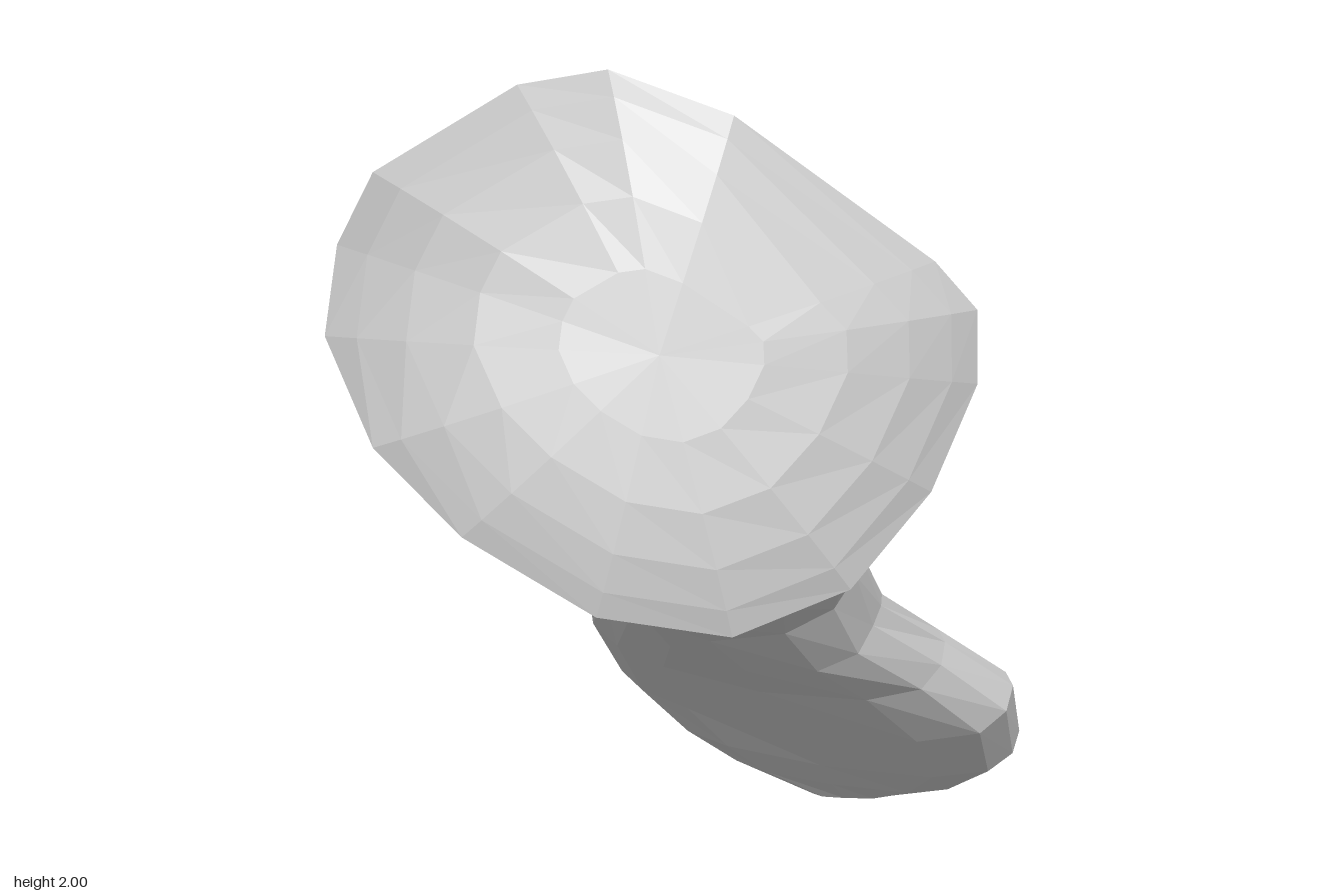
import * as THREE from 'three';

const v = (a) => new THREE.Vector3(...a);

// Rim of the domed end: angle around the body (0 back/top, 90 left, 180 underside), then x, y, z
const RIM = [
  [0, 0.05, 2.0, 0.46], [30, 0.24, 1.94, 0.4], [65, 0.48, 1.67, 0.17], [80, 0.535, 1.58, 0.12],
  [95, 0.55, 1.46, 0.14], [120, 0.54, 1.32, 0.28], [150, 0.49, 1.21, 0.46], [180, 0.37, 1.17, 0.63],
  [205, 0.2, 1.22, 0.76], [228, 0.0, 1.34, 0.83], [250, -0.17, 1.45, 0.82], [270, -0.33, 1.57, 0.72],
  [292, -0.38, 1.68, 0.61], [318, -0.33, 1.8, 0.57], [342, -0.1, 1.96, 0.49],
];

// Cross-sections down to the paddle: upper, left, under and right points, then roundness
const SECTIONS = [
  [[0.05, 1.5, 0.26], [0.41, 1.3, 0.12], [0.2, 1.1, 0.5], [-0.27, 1.42, 0.52], 0.95],
  [[0.03, 1.24, 0.1], [0.31, 1.12, 0.01], [0.08, 0.95, 0.28], [-0.22, 1.17, 0.3], 0.92],
  [[0.0, 1.0, -0.06], [0.21, 0.93, -0.11], [0.0, 0.8, 0.07], [-0.25, 0.97, 0.08], 0.85],
  [[0.0, 0.84, -0.21], [0.19, 0.77, -0.22], [-0.02, 0.65, -0.1], [-0.34, 0.8, -0.09], 0.8],
  [[-0.1, 0.68, -0.38], [0.26, 0.63, -0.38], [-0.08, 0.51, -0.26], [-0.49, 0.61, -0.28], 0.72],
  [[-0.1, 0.5, -0.57], [0.35, 0.49, -0.51], [-0.1, 0.33, -0.43], [-0.555, 0.37, -0.51], 0.68],
  [[-0.1, 0.32, -0.71], [0.29, 0.28, -0.69], [-0.1, 0.18, -0.56], [-0.47, 0.25, -0.57], 0.68],
  [[-0.1, 0.17, -0.78], [0.15, 0.13, -0.77], [-0.12, 0.08, -0.65], [-0.38, 0.13, -0.65], 0.7],
  [[-0.08, 0.05, -0.81], [-0.01, 0.02, -0.81], [-0.13, 0.0, -0.73], [-0.2, 0.01, -0.74], 0.8],
];

// Rounded ring through the four points of a cross-section
function ring([up, left, under, right, power]) {
  const [u, l, d, r] = [up, left, under, right].map(v);
  const centre = u.clone().add(l).add(d).add(r).multiplyScalar(0.25);
  return RIM.map(([deg]) => {
    const a = THREE.MathUtils.degToRad(deg);
    const c = Math.cos(a), s = Math.sin(a);
    return centre.clone()
      .addScaledVector((c > 0 ? u : d).clone().sub(centre), Math.abs(c) ** power)
      .addScaledVector((s > 0 ? l : r).clone().sub(centre), Math.abs(s) ** power);
  });
}

// Skin over successive rings of equal point count
function loft(rings) {
  const n = rings[0].length;
  const index = [];
  for (let i = 0; i < rings.length - 1; i++) {
    for (let j = 0; j < n; j++) {
      const k = (j + 1) % n;
      const a = i * n + j, b = i * n + k, c = a + n, d = b + n;
      index.push(a, b, c, b, d, c);
    }
  }
  const geometry = new THREE.BufferGeometry().setFromPoints(rings.flat());
  geometry.setIndex(index);
  geometry.computeVertexNormals();
  return geometry;
}

const centreOf = (pts) => pts.reduce((s, p) => s.add(p), new THREE.Vector3()).divideScalar(pts.length);

export function createModel() {
  const group = new THREE.Group();
  group.name = 'bone';
  const material = new THREE.MeshStandardMaterial({ color: 0xcccccc, flatShading: true });
  const add = (name, rings) => {
    const mesh = new THREE.Mesh(loft(rings), material);
    mesh.name = name;
    group.add(mesh);
  };

  const rim = RIM.map(([, ...p]) => v(p));

  // Domed face: the wavy rim blends into a smooth bulge over its mean plane
  const centre = centreOf(rim);
  const normal = v([0.56, 0.37, 0.74]).normalize();
  add('domedFace', [0, 0.3, 0.55, 0.75, 0.9, 1].map((s) => rim.map((p) => {
    const offset = p.clone().sub(centre);
    const wave = offset.dot(normal);
    return centre.clone()
      .addScaledVector(offset.addScaledVector(normal, -wave), s)
      .addScaledVector(normal, wave * s ** 2.5 + 0.16 * (1 - s ** 3));
  })));

  // Flared neck narrowing to the shaft and flattening into the paddle, closed at its tip
  const body = [rim, ...SECTIONS.map(ring)];
  const tip = centreOf(body[body.length - 1]);
  body.push(rim.map(() => tip.clone()));
  add('shaftAndPaddle', body);

  return group;
}
